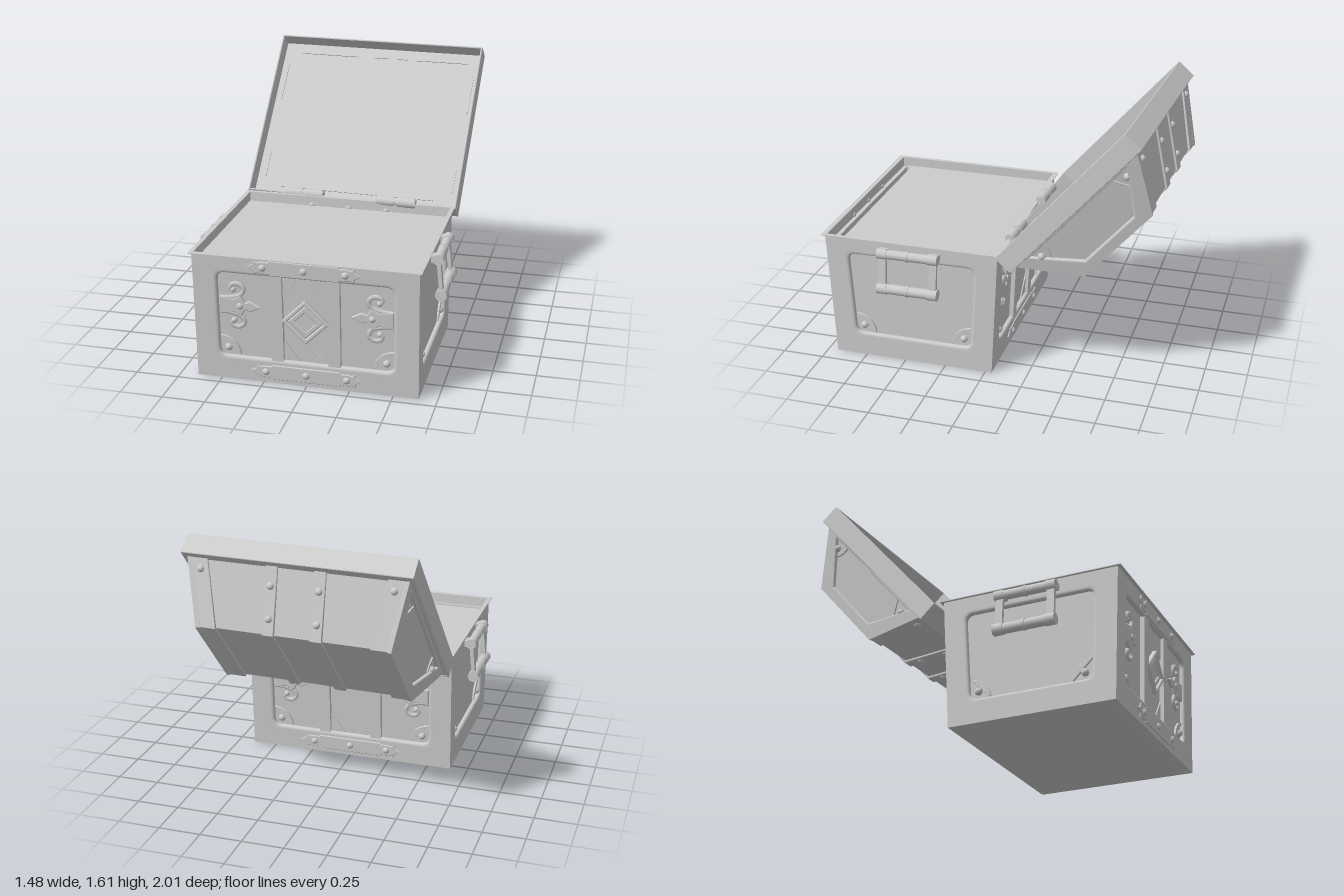
import * as THREE from 'three';
import { toCreasedNormals } from 'three/addons/utils/BufferGeometryUtils.js';

const mat = new THREE.MeshStandardMaterial({ color: 0xcccccc });

function add(parent, name, geo, x = 0, y = 0, z = 0) {
  const m = new THREE.Mesh(geo, mat);
  m.name = name;
  m.position.set(x, y, z);
  parent.add(m);
  return m;
}

function group(parent, name) {
  const g = new THREE.Group();
  g.name = name;
  parent.add(g);
  return g;
}

// Closed outline through the points, corners rounded by r
function outline(pts, r = 0, Type = THREE.Shape) {
  const s = new Type();
  const v = pts.map(p => new THREE.Vector2(...p));
  v.forEach((p, i) => {
    const toward = q => p.clone().add(q.clone().sub(p).setLength(r));
    const a = toward(v[(i + v.length - 1) % v.length]);
    const b = toward(v[(i + 1) % v.length]);
    if (i) s.lineTo(a.x, a.y); else s.moveTo(a.x, a.y);
    if (r) s.quadraticCurveTo(p.x, p.y, b.x, b.y);
  });
  s.closePath();
  return s;
}

const trapezoid = (b, y0, t, y1) => [[-b, y0], [b, y0], [t, y1], [-t, y1]];

// Flat plate from z = 0 to z = depth, with softened edges
function plate(shape, depth, bevel = 0.004, segments = 1) {
  const g = new THREE.ExtrudeGeometry(shape, {
    depth: depth - 2 * bevel, bevelThickness: bevel, bevelSize: bevel * 1.2, bevelOffset: -bevel * 1.2,
    bevelSegments: segments, bevelEnabled: bevel > 0, curveSegments: 8,
  });
  // Creased at a larger scale, so that close vertices stay apart
  return toCreasedNormals(g.translate(0, 0, bevel).scale(100, 100, 100), 0.6).scale(0.01, 0.01, 0.01);
}

function framed(outer, inner, r, depth, bevel, segments) {
  const s = outline(outer);
  s.holes.push(outline(inner, r, THREE.Path));
  return plate(s, depth, bevel, segments);
}

// Sharp outer frame with a moulding around its opening
function mouldedFrame(parent, outer, [b, y0, t, y1], r, depth, bevel, z) {
  const len = Math.hypot(b - t, y1 - y0);
  const nx = (y1 - y0) / len, ny = (b - t) / len;
  const grown = d => trapezoid(b + d * (1 + ny) / nx, y0 - d, t + d * (1 - ny) / nx, y1 + d);
  add(parent, 'frame', framed(trapezoid(...outer), grown(bevel * 1.5), r, depth, 0), 0, 0, z);
  add(parent, 'frameMoulding', framed(grown(bevel * 3), grown(0), r, depth, bevel, 4), 0, 0, z);
}

// Box along z whose +z end has its own half sizes
function frustum(x0, y0, x1, y1, h) {
  const g = new THREE.BoxGeometry(2, 2, h);
  const p = g.attributes.position;
  for (let i = 0; i < p.count; i++) {
    const end = p.getZ(i) > 0;
    p.setXY(i, p.getX(i) * (end ? x1 : x0), p.getY(i) * (end ? y1 : y0));
  }
  g.translate(0, 0, h / 2);
  g.computeVertexNormals();
  return g;
}

const boltGeo = new THREE.SphereGeometry(0.022, 14, 10);
const bolt = (parent, x, y, z) => add(parent, 'bolt', boltGeo, x, y, z);

// Fan-shaped corner plate with its bolt
function cornerPlate(parent, x, y, z, side, r, angle = Math.PI / 2) {
  const s = new THREE.Shape();
  s.moveTo(0, 0);
  s.absarc(0, 0, r, side > 0 ? Math.PI - angle : 0, side > 0 ? Math.PI : angle, false);
  s.closePath();
  add(parent, 'cornerPlate', plate(s, 0.014, 0.002), x, y, z);
  bolt(parent, x - side * r * 0.38, y + r * 0.38, z + 0.008);
}

// Leaf and scrolls, pointing towards -x
function leafOrnament(parent, side) {
  const g = group(parent, 'leafOrnament');
  g.position.set(side * 0.38, 0.46, -0.031);
  if (side < 0) g.rotation.z = Math.PI;
  const half = [[-0.12, 0], [-0.06, 0.032], [-0.03, 0.022], [-0.005, 0.065], [0.04, 0.04], [0.12, 0.055]];
  add(g, 'leaf', plate(outline([...half, ...half.slice(1).reverse().map(([x, y]) => [x, -y])]), 0.018));
  for (const k of [1, -1]) {
    const pts = [[0.12, 0.04], [0.05, 0.048], [-0.005, 0.068], [-0.022, 0.105], [0.005, 0.132], [0.042, 0.13], [0.055, 0.108], [0.04, 0.095]];
    const curve = new THREE.CatmullRomCurve3(pts.map(([x, y]) => new THREE.Vector3(x, k * y, 0)));
    add(g, 'scroll', new THREE.TubeGeometry(curve, 28, 0.014, 6), 0, 0, 0.004);
    const end = curve.getPoint(1);
    add(g, 'scrollTip', new THREE.SphereGeometry(0.017, 10, 8), end.x, end.y, 0.004);
  }
  bolt(g, 0, 0, 0.009);
}

function strap(parent, y) {
  const half = [[0.2, 0.045], [0.2, 0.036], [0.25, 0.036], [0.265, 0.03], [0.285, 0.042], [0.29, 0.02], [0.325, 0]];
  const right = [...half, ...half.slice(0, -1).reverse().map(([x, v]) => [x, -v])];
  const pts = [...right, ...right.map(([x, v]) => [-x, -v])];
  add(parent, 'strap', plate(outline(pts), 0.012, 0.003), 0, y, -0.004);
  for (const x of [-0.235, 0, 0.235]) bolt(parent, x, y, 0.002);
}

// Wall: moulded frame with a thin upper edge, outer surface at local z = 0
function wall(parent, base, top, panelBase, panelTop) {
  const edge = base + (top - base) * 0.715 / 0.775;
  mouldedFrame(parent, [base, 0, edge, 0.715], [panelBase, 0.145, panelTop, 0.665], 0.05, 0.036, 0.014, -0.036);
  add(parent, 'upperEdge', plate(outline(trapezoid(edge, 0.715, top, 0.775)), 0.01, 0), 0, 0, -0.01);
  for (const s of [-1, 1]) cornerPlate(parent, s * panelBase, 0.145, -0.031, s, 0.12);
}

function diamondBoss(parent) {
  const diamond = r => [[r, 0], [0, r], [-r, 0], [0, -r]];
  add(parent, 'diamondRim', framed(diamond(0.135), diamond(0.105), 0, 0.03), 0, 0.4, -0.031);
  add(parent, 'diamondStep', framed(diamond(0.1), diamond(0.06), 0, 0.022), 0, 0.4, -0.031);
  add(parent, 'diamondCentre', plate(outline(diamond(0.065)), 0.014), 0, 0.4, -0.031);
}

function longWall(parent, isFront) {
  const g = group(parent, 'longWall');
  g.position.z = 0.49;
  g.rotation.x = 0.052;
  wall(g, 0.645, 0.645, 0.505, 0.505);
  for (const s of [-1, 1]) {
    add(g, 'slat', new THREE.BoxGeometry(0.07, 0.53, 0.028), s * 0.165, 0.405, -0.018);
    leafOrnament(g, s);
    for (const [y0, y1] of [[0.665, 0.53], [0.145, 0.27]])
      add(g, 'cornerWedge', plate(outline([[s * 0.13, y0], [s * 0.04, y0], [s * 0.13, y1]]), 0.008, 0.001), 0, 0, -0.031);
  }
  if (isFront) diamondBoss(g);
  strap(g, 0.72);
  strap(g, 0.07);
}

function handle(parent) {
  const g = group(parent, 'handle');
  for (const [y, z, r] of [[0.715, 0.04, 0.028], [0.5, 0.06, 0.03]]) {
    add(g, 'handleBar', new THREE.CylinderGeometry(r, r, 0.37, 16).rotateZ(Math.PI / 2), 0, y, z);
    for (const x of [-0.155, 0, 0.155])
      add(g, 'collar', new THREE.CylinderGeometry(r + 0.004, r + 0.004, x ? 0.06 : 0.014, 16).rotateZ(Math.PI / 2), x, y, z);
  }
  for (const x of [-0.155, 0.155]) {
    add(g, 'handleArm', new THREE.BoxGeometry(0.045, 0.22, 0.022), x, 0.607, 0.05).rotation.x = -0.093;
    add(g, 'handleMount', new THREE.BoxGeometry(0.06, 0.04, 0.04), x, 0.715, 0.015);
  }
}

function sideWall(parent) {
  const g = group(parent, 'sideWall');
  g.position.z = 0.645;
  wall(g, 0.49, 0.53, 0.36, 0.39);
  handle(g);
}

function makeLid(root) {
  const lid = group(root, 'lid');
  lid.position.set(0, 0.785, -0.113);
  lid.rotation.set(-0.717, -0.045, 0, 'YXZ');
  const mid = 0.535;

  // Rim, inner panel and the thin strips on it
  const rect = (x, a, b) => [[-x, a], [x, a], [x, b], [-x, b]];
  add(lid, 'lidRim', framed(rect(0.668, -0.02, 1.095), rect(0.658, -0.01, 1.085), 0, 0.125, 0.003), 0, 0, -0.125);
  add(lid, 'lidPanel', new THREE.BoxGeometry(1.325, 1.1, 0.02), 0, mid, -0.11);
  for (const [x, y, w, h] of [[-0.35, 1.02, 0.38, 0.01], [0.4, 1.02, 0.34, 0.01], [0, 1.02, 0.09, 0.008], [0.14, 1.02, 0.07, 0.008],
    [-0.61, 0.2, 0.01, 0.16], [-0.62, 0.8, 0.01, 0.26], [0.62, 0.8, 0.01, 0.26], [0.61, 0.2, 0.01, 0.16], [0, 0.06, 1, 0.01]])
    add(lid, 'panelStrip', new THREE.BoxGeometry(w, h, 0.008), x, y, -0.098);

  const dome = group(lid, 'dome');
  dome.position.set(0, mid, -0.115);
  add(dome, 'domeShell', frustum(0.615, 0.505, 0.545, 0.275, 0.3)).rotation.y = Math.PI;

  // Bands across the dome; the outer pair leans in with the ends
  const slice = trapezoid(0.518, 0, 0.285, 0.312);
  const basis = new THREE.Matrix4().makeBasis(new THREE.Vector3(0, 1, 0), new THREE.Vector3(0, 0, -1), new THREE.Vector3(-1, 0, 0));
  for (const [x, w, lean] of [[-0.14, 0.07, 0], [0.14, 0.07, 0], [-0.57, 0.1, -0.229], [0.57, 0.1, 0.229]]) {
    const shear = new THREE.Matrix4().makeShear(0, 0, 0, 0, lean, 0);
    add(dome, 'band', plate(outline(slice), w, 0.003).applyMatrix4(basis).applyMatrix4(shear), x + w / 2, 0, 0);
    for (const s of [-1, 1])
      for (const n of lean ? [0.05] : [0.09, 0.235])
        bolt(dome, x - lean * n, s * (0.513 - 0.747 * n), -n);
  }

  // Sloping ends with framed panels
  const tilt = 0.225;
  const c = Math.cos(tilt), n = Math.sin(tilt);
  for (const turn of [0, Math.PI]) {
    const half = group(dome, 'domeEnd');
    half.rotation.z = turn;
    const face = group(half, 'domeEndFace');
    const m = new THREE.Matrix4().makeBasis(new THREE.Vector3(0, -1, 0), new THREE.Vector3(-n, 0, -c), new THREE.Vector3(c, 0, -n));
    face.quaternion.setFromRotationMatrix(m);
    face.position.x = 0.615;
    mouldedFrame(face, [0.518, 0, 0.285, 0.322], [0.41, 0.02, 0.205, 0.255], 0, 0.028, 0.01, -0.002);
    for (const s of [-1, 1]) cornerPlate(face, s * 0.41, 0.02, 0, s, 0.12, 0.86);
  }

  // Hinges
  for (const x of [-0.295, 0.295]) {
    add(lid, 'hingeBarrel', new THREE.CylinderGeometry(0.026, 0.026, 0.25, 14).rotateZ(Math.PI / 2), x, -0.012, 0);
    for (const d of [-0.065, 0.065])
      add(lid, 'hingeKnuckle', new THREE.CylinderGeometry(0.031, 0.031, 0.11, 14).rotateZ(Math.PI / 2), x + d, -0.012, 0);
  }
}

export function createModel() {
  const root = new THREE.Group();
  root.name = 'chest';

  const body = group(root, 'body');
  body.position.z = 0.45;
  add(body, 'bodyCore', frustum(0.615, 0.46, 0.615, 0.494, 0.675)).rotation.x = -Math.PI / 2;
  add(body, 'innerFloor', new THREE.BoxGeometry(1.275, 0.05, 0.98), 0, 0.692, -0.03);
  add(body, 'bodyLip', framed(trapezoid(0.66, -0.55, 0.66, 0.55), trapezoid(0.638, -0.522, 0.638, 0.522), 0, 0.005, 0), 0, 0.77, 0).rotation.x = -Math.PI / 2;
  for (let i = 0; i < 4; i++) {
    const side = group(body, 'bodySide');
    side.rotation.y = i * Math.PI / 2;
    if (i % 2) sideWall(side);
    else longWall(side, i === 0);
  }

  makeLid(root);
  return root;
}
